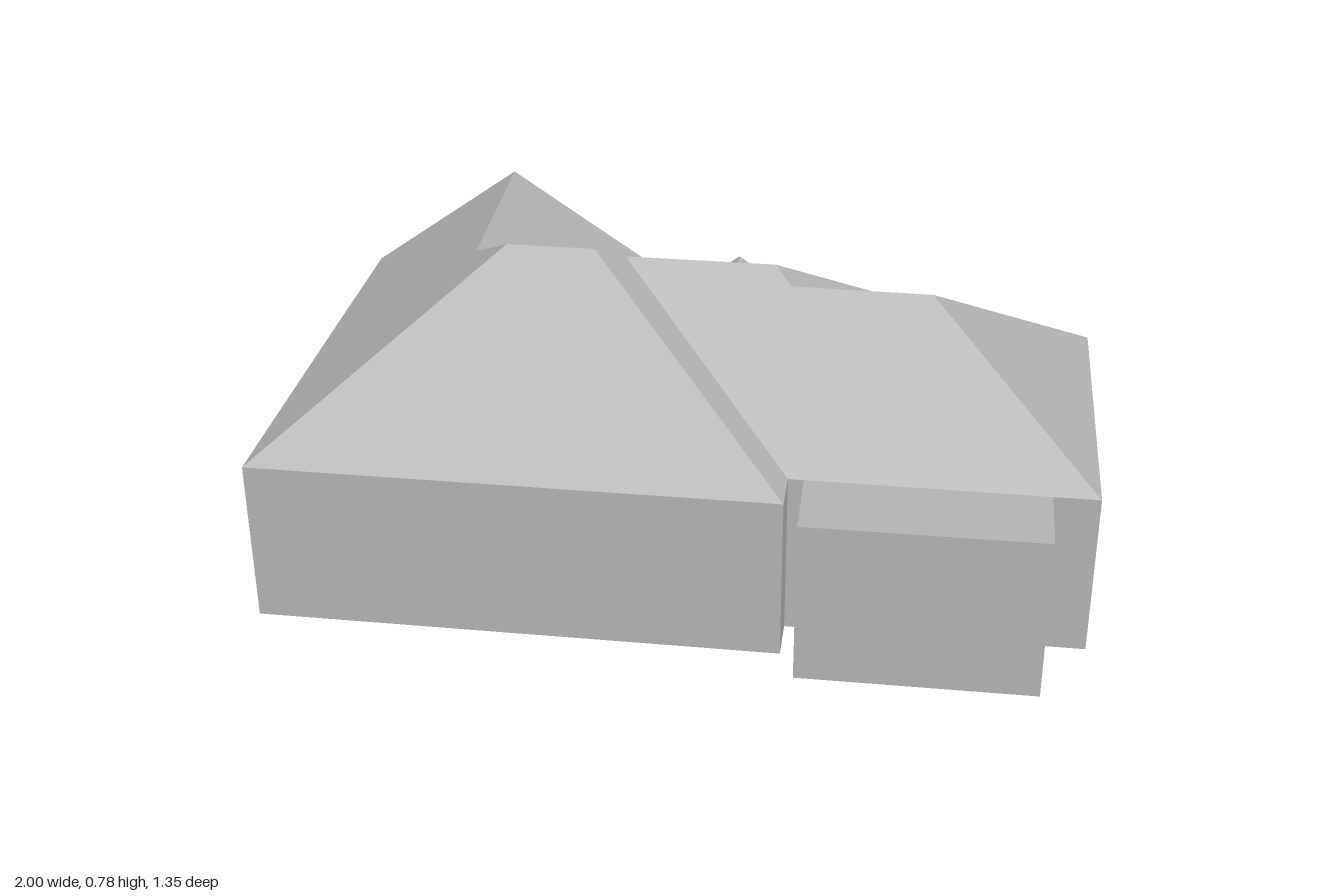
import * as THREE from 'three';

const EAVE = 0.405;
const grey = new THREE.MeshStandardMaterial({ color: 0xb4b4b4 });
grey.name = 'plain grey';

// Eave corners, [x, z]
const frontRight = [-1, 0.498], backRight = [-0.94, -0.678];
const wingBack = [-0.123, -0.636], wingInner = [-0.115, -0.487];
const dormerInnerR = [-0.072, -0.485], dormerR = [-0.07, -0.532];
const dormerL = [0.243, -0.516], dormerInnerL = [0.24, -0.473];
const middleBack = [0.666, -0.45], middleInner = [0.658, -0.361];
const backLeft = [0.998, -0.343], frontLeft = [0.958, 0.478];
const stepInner = [0.254, 0.444], stepFront = [0.249, 0.556];

// Ridge points, [x, z, y]
const highR = [-0.446, 0.035, 0.782], highL = [-0.232, 0.045, 0.782];
const midR = [-0.166, -0.022, 0.735], midL = [0.198, -0.005, 0.735];
const lowR = [0.238, 0.04, 0.7], lowL = [0.575, 0.059, 0.7];
const wingRidge = [-0.545, -0.658, 0.689], wingValley = [-0.545, -0.085, 0.707];
const dormerRidge = [0.08, -0.524, 0.52], dormerValley = [0.075, -0.318, 0.52];

const to3D = ([x, z, y = EAVE]) => new THREE.Vector3(x, y, z);

function addMesh(group, name, geometry) {
  const mesh = new THREE.Mesh(geometry, grey);
  mesh.name = name;
  group.add(mesh);
}

// Upright walls over a footprint
function walls(points) {
  const shape = new THREE.Shape(points.map(([x, z]) => new THREE.Vector2(x, -z)));
  return new THREE.ExtrudeGeometry(shape, { depth: EAVE, bevelEnabled: false }).rotateX(-Math.PI / 2);
}

function fromTriangles(triangles) {
  const geometry = new THREE.BufferGeometry().setFromPoints(triangles.flat());
  geometry.computeVertexNormals();
  return geometry;
}

// A roof slope, divided in plan and turned to face the sky
function slope(points) {
  const plan = points.map(([x, z]) => new THREE.Vector2(x, z));
  const corners = points.map(to3D);
  const triangles = THREE.ShapeUtils.triangulateShape(plan, []).map((face) => {
    const [a, b, c] = face.map((i) => corners[i]);
    const up = b.clone().sub(a).cross(c.clone().sub(a)).y;
    return up > 0 ? [a, b, c] : [a, c, b];
  });
  return fromTriangles(triangles);
}

export function createModel() {
  const house = new THREE.Group();
  house.name = 'house';

  // Walls and the flat-roofed front bay
  addMesh(house, 'mainWalls', walls([
    frontRight, stepFront, stepInner, frontLeft, backLeft, middleInner, middleBack,
    dormerInnerL, dormerL, dormerR, dormerInnerR, wingInner, wingBack, backRight,
  ]));
  addMesh(house, 'frontBay', walls([[0.29, 0.44], [0.283, 0.647], [0.84, 0.671], [0.851, 0.465]]));

  // Roof slopes
  const slopes = {
    highFrontSlope: [frontRight, stepFront, highL, highR],
    highLeftHip: [stepFront, stepInner, midR, highL],
    lowFrontSlope: [stepInner, frontLeft, lowL, lowR, midL, midR],
    lowLeftHip: [frontLeft, backLeft, lowL],
    lowBackSlope: [backLeft, middleInner, lowR, lowL],
    middleLeftHip: [middleInner, middleBack, midL, lowR],
    mainBackSlope: [highR, highL, midR, midL, middleBack, dormerInnerL, dormerValley,
      dormerInnerR, wingInner, wingValley],
    wingLeftSlope: [wingValley, wingInner, wingBack, wingRidge],
    dormerLeftSlope: [dormerValley, dormerInnerL, dormerL, dormerRidge],
    dormerRightSlope: [dormerValley, dormerRidge, dormerR, dormerInnerR],
    rightSlope: [frontRight, highR, wingValley, wingRidge, backRight],
  };
  for (const [name, points] of Object.entries(slopes)) addMesh(house, name, slope(points));

  // Back gables
  addMesh(house, 'wingGable', fromTriangles([[wingBack, backRight, wingRidge].map(to3D)]));
  addMesh(house, 'dormerGable', fromTriangles([[dormerL, dormerR, dormerRidge].map(to3D)]));

  return house;
}
